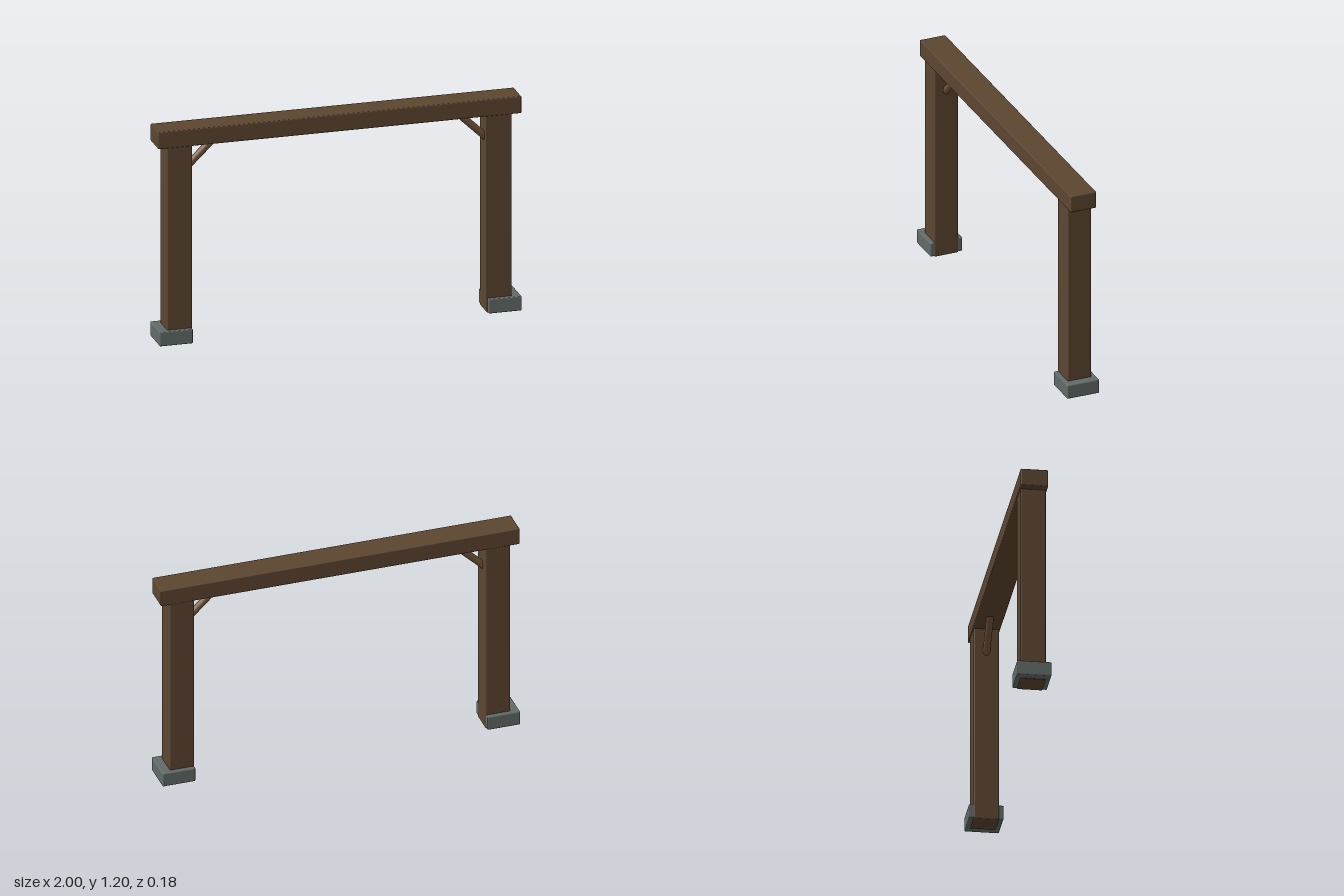
import * as THREE from 'three';
import { RoundedBoxGeometry } from 'three/addons/geometries/RoundedBoxGeometry.js';

export function createModel() {
  const model = new THREE.Group();
  model.name = 'timberGateway';

  const timber = new THREE.MeshStandardMaterial({ color: 0x5c4530 });
  const braceWood = new THREE.MeshStandardMaterial({ color: 0x705438 });
  const stone = new THREE.MeshStandardMaterial({ color: 0x616b67 });

  const add = (name, geometry, material, x, y, z = 0) => {
    const mesh = new THREE.Mesh(geometry, material);
    mesh.name = name;
    mesh.position.set(x, y, z);
    model.add(mesh);
    return mesh;
  };

  // Block with slightly eased edges, placed by its bottom height
  const block = (name, material, w, h, d, x, bottom) =>
    add(name, new RoundedBoxGeometry(w, h, d, 2, 0.006), material, x, bottom + h / 2);

  // Top beam
  block('crossBeam', timber, 2, 0.095, 0.148, 0, 1.105);

  for (const [side, s] of [['left', 1], ['right', -1]]) {
    // The post runs through its foot and is nearly flush with the inner face
    block(side + 'Post', timber, 0.137, 1.12, 0.136, s * 0.88, 0);
    block(side + 'Foot', stone, 0.183, 0.08, 0.184, s * 0.905, 0.004);

    // Round diagonal brace, its ends buried in post and beam
    const low = new THREE.Vector3(s * 0.832, 0.958, 0);
    const high = new THREE.Vector3(s * 0.661, 1.123, 0);
    const axis = high.clone().sub(low);
    const mid = low.clone().add(high).multiplyScalar(0.5);
    const brace = add(side + 'Brace', new THREE.CylinderGeometry(0.02, 0.02, axis.length(), 16),
      braceWood, mid.x, mid.y);
    brace.quaternion.setFromUnitVectors(new THREE.Vector3(0, 1, 0), axis.normalize());
  }

  return model;
}
